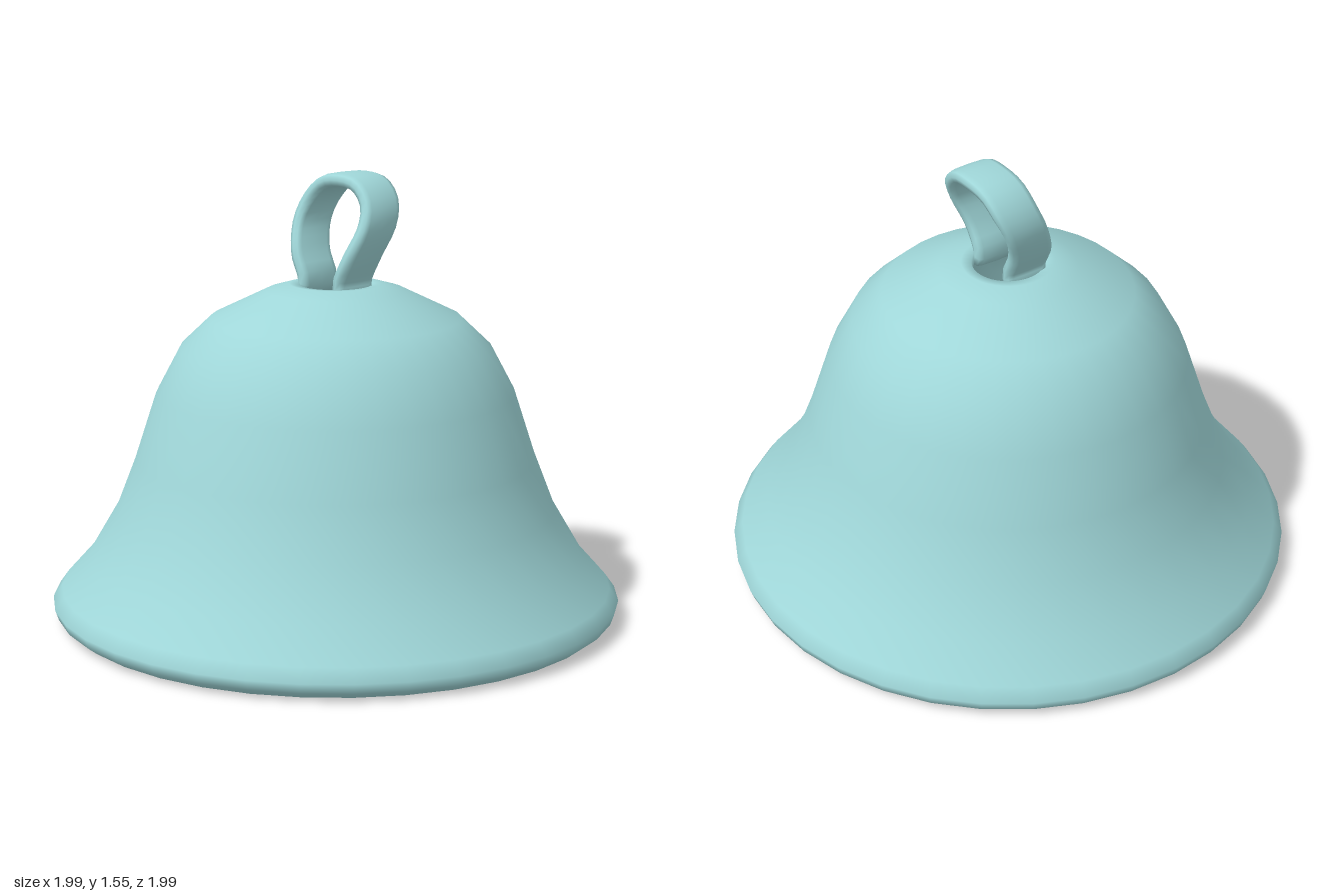
import * as THREE from 'three';
import { mergeVertices } from 'three/addons/utils/BufferGeometryUtils.js';

const v = (x, y, z = 0) => new THREE.Vector3(x, y, z);

// Hollow flared shell: up the outside, over the crown hole, down the inside
function bellShell() {
  const profile = [
    [0.91, 0.005], [0.955, 0.012], [0.985, 0.035], [0.997, 0.07], [0.965, 0.115],
    [0.87, 0.22], [0.77, 0.39], [0.7, 0.57], [0.625, 0.8], [0.54, 0.96],
    [0.435, 1.06], [0.24, 1.155], [0.16, 1.178], [0.125, 1.175], [0.118, 1.15],
    [0.13, 1.125], [0.23, 1.095], [0.4, 1.01], [0.49, 0.92], [0.57, 0.77],
    [0.645, 0.55], [0.715, 0.36], [0.81, 0.2], [0.87, 0.1], [0.885, 0.03], [0.91, 0.005],
  ].map(([r, y]) => new THREE.Vector2(r, y));
  return new THREE.LatheGeometry(profile, 36);
}

// Flat strap swept along a loop that leans backwards
function strapLoop() {
  const half = [
    v(0.1, 1.145, 0.005), v(0.085, 1.185, 0.005), v(0.128, 1.28, 0),
    v(0.16, 1.385, -0.04), v(0.143, 1.46, -0.07), v(0.085, 1.518, -0.083),
  ];
  const mirrored = half.map((p) => v(-p.x, p.y, p.z)).reverse();
  const path = new THREE.CatmullRomCurve3([...half, v(0, 1.532, -0.087), ...mirrored]);
  const rings = 32, sides = 12, pos = [], idx = [];
  const soft = (c) => Math.sign(c) * Math.sqrt(Math.abs(c));
  for (let i = 0; i <= rings + 2; i++) {
    const t = Math.min(Math.max(i - 1, 0), rings) / rings;
    const size = i === 0 || i === rings + 2 ? 0 : 1; // closed ends
    const c = path.getPointAt(t);
    const d = path.getTangentAt(t);
    const n = v(d.y, -d.x).normalize();
    for (let j = 0; j < sides; j++) {
      const a = (j / sides) * Math.PI * 2;
      const out = soft(Math.cos(a)) * 0.025 * size;
      const wide = soft(Math.sin(a)) * 0.082 * size;
      pos.push(c.x + n.x * out, c.y + n.y * out, c.z + wide);
      if (i < rings + 2) {
        const k = (j + 1) % sides, p = i * sides, q = p + sides;
        idx.push(p + j, q + j, p + k, q + j, q + k, p + k);
      }
    }
  }
  let geo = new THREE.BufferGeometry();
  geo.setAttribute('position', new THREE.Float32BufferAttribute(pos, 3));
  geo.setIndex(idx);
  geo = mergeVertices(geo);
  geo.computeVertexNormals();
  return geo;
}

export function createModel() {
  const group = new THREE.Group();
  group.name = 'bell';
  const teal = new THREE.MeshStandardMaterial({ color: 0x9fd6d8 });
  teal.name = 'pale teal';

  const shell = new THREE.Mesh(bellShell(), teal);
  shell.name = 'bellShell';
  const loop = new THREE.Mesh(strapLoop(), teal);
  loop.name = 'hangingLoop';
  group.add(shell, loop);
  return group;
}
